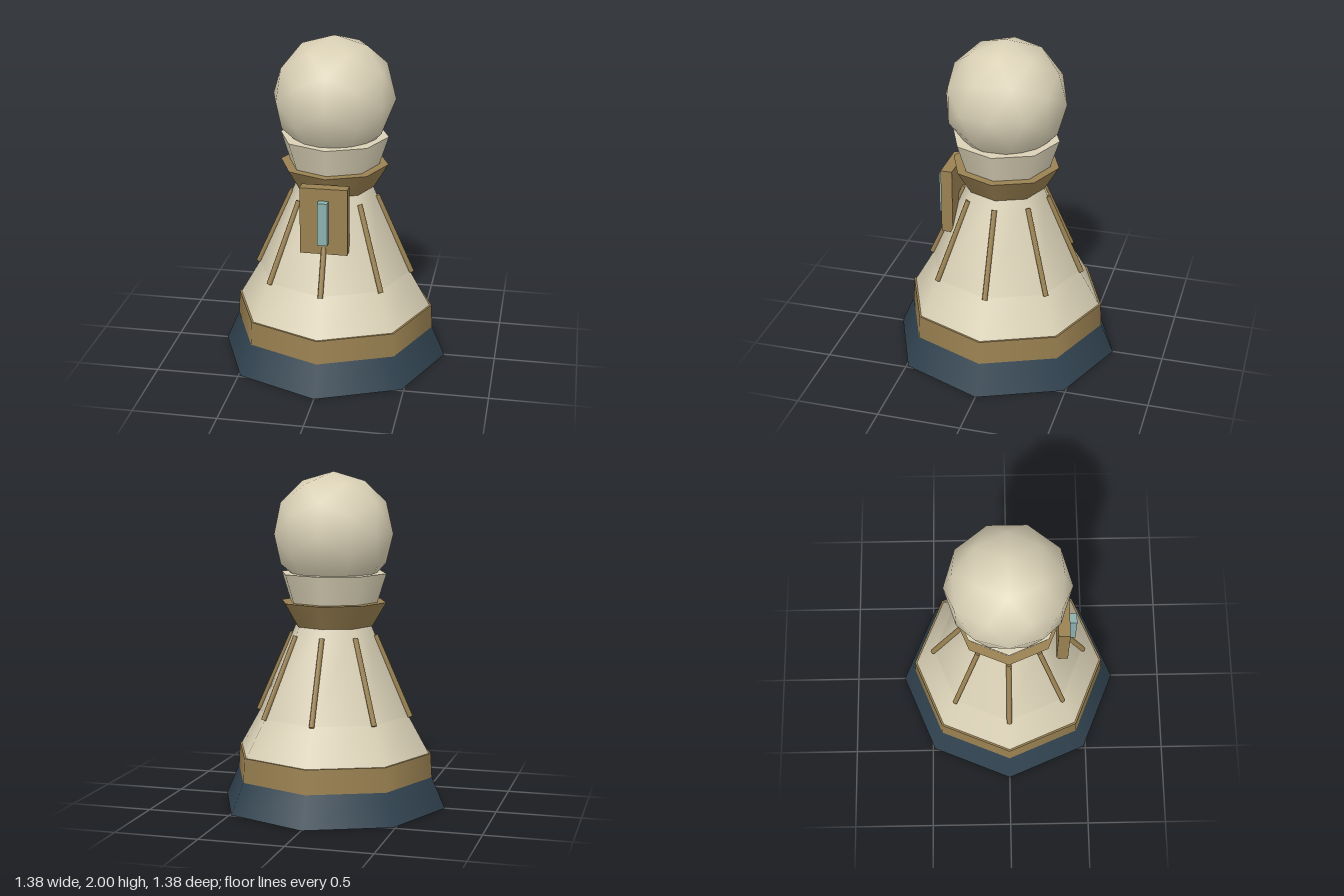
import * as THREE from 'three';

const mat = (name, color) => {
  const m = new THREE.MeshStandardMaterial({ color });
  m.name = name;
  return m;
};

export function createModel() {
  const group = new THREE.Group();
  const cream = mat('cream', 0xdad1b6);
  const brass = mat('brass', 0x9a8151);
  const navy = mat('navy', 0x30424f);
  const teal = mat('teal', 0x8bb0ae);

  const add = (name, geometry, material, x = 0, y = 0, z = 0) => {
    const mesh = new THREE.Mesh(geometry, material);
    mesh.name = name;
    mesh.position.set(x, y, z);
    group.add(mesh);
    return mesh;
  };

  // Stacked eight-sided tiers: name, bottom y, top y, bottom radius, top radius
  const tiers = [
    ['base', 0, 0.185, 0.69, 0.61, navy],
    ['baseBand', 0.185, 0.33, 0.61, 0.602, brass],
    ['skirt', 0.33, 0.55, 0.59, 0.465, cream],
    ['body', 0.55, 1.085, 0.465, 0.235, cream],
    ['brassCollar', 1.085, 1.228, 0.24, 0.325, brass],
    ['neckCollar', 1.228, 1.4, 0.27, 0.325, cream],
  ];
  for (const [name, y0, y1, r0, r1, material] of tiers) {
    add(name, new THREE.CylinderGeometry(r1, r0, y1 - y0, 8), material, 0, (y0 + y1) / 2);
  }

  // Faceted round head
  add('head', new THREE.IcosahedronGeometry(0.365, 1), cream, 0, 1.635);

  // Sloping rods along the eight ridges of the body
  const up = new THREE.Vector3(0, 1, 0);
  for (let i = 0; i < 8; i++) {
    const a = (i * Math.PI) / 4;
    const at = (r, y) => new THREE.Vector3(Math.sin(a) * r, y, Math.cos(a) * r);
    const low = at(0.475, 0.547);
    const high = at(0.258, 1.032);
    const dir = high.clone().sub(low);
    const rod = add('ridgeRod', new THREE.CylinderGeometry(0.016, 0.016, dir.length(), 8), brass);
    rod.position.copy(low).add(high).multiplyScalar(0.5);
    rod.quaternion.setFromUnitVectors(up, dir.normalize());
  }

  // Front plate with its raised window
  add('frontPlate', new THREE.BoxGeometry(0.28, 0.405, 0.07), brass, 0, 0.983, 0.33);
  add('frontWindow', new THREE.BoxGeometry(0.06, 0.26, 0.05), teal, 0, 0.982, 0.386);

  return group;
}
